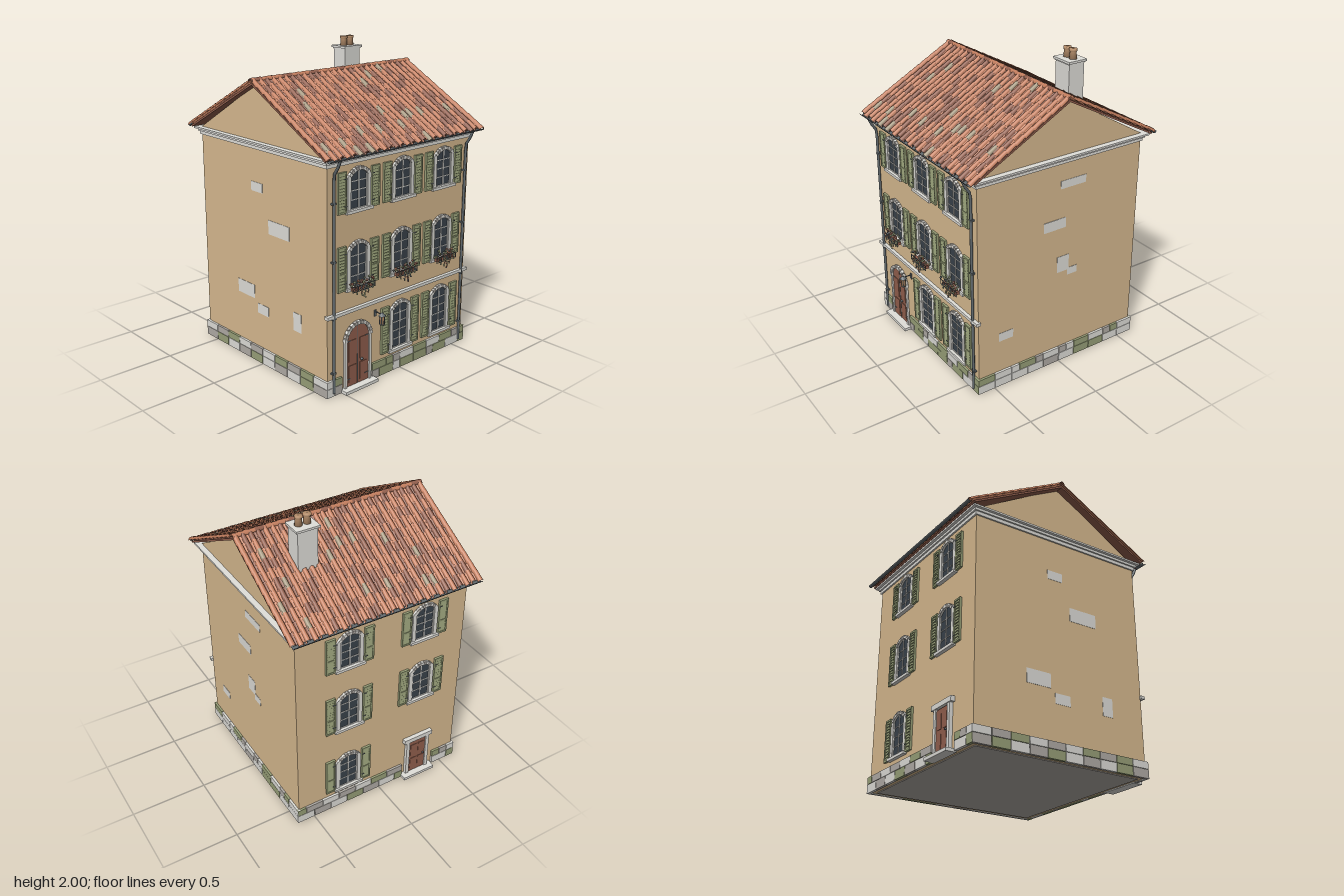
import * as THREE from 'three';
import { mergeGeometries } from 'three/addons/utils/BufferGeometryUtils.js';

const mat = (name, color, side = THREE.FrontSide) => {
  const m = new THREE.MeshStandardMaterial({ color, side });
  m.name = name;
  return m;
};
const M = {
  wall: mat('ochre plaster', 0xd9bb90),
  stone: mat('pale stone', 0xe0dfda),
  grey: mat('grey stone', 0xb2ada7),
  sage: mat('sage green', 0x99a179),
  tile: mat('terracotta', 0xc47f5f, THREE.DoubleSide),
  brown: mat('red brown', 0x93604e, THREE.DoubleSide),
  tileOld: mat('weathered tile', 0xa5987f, THREE.DoubleSide),
  clay: mat('clay tan', 0xb48d6a),
  metal: mat('dark metal', 0x626a6e, THREE.DoubleSide),
  glass: mat('window glass', 0x3a434b),
};
let seed = 7;
const rnd = () => (seed = (seed * 16807) % 2147483647) / 2147483647;

function add(parent, name, geo, material, x = 0, y = 0, z = 0) {
  const m = new THREE.Mesh(geo, material);
  m.name = name;
  m.position.set(x, y, z);
  parent.add(m);
  return m;
}
const box = (p, name, material, w, h, d, x, y, z) => add(p, name, new THREE.BoxGeometry(w, h, d), material, x, y, z);
function group(parent, name, x = 0, y = 0, z = 0) {
  const g = new THREE.Group();
  g.name = name;
  g.position.set(x, y, z);
  parent.add(g);
  return g;
}
const extrude = (shape, depth) => new THREE.ExtrudeGeometry(shape, { depth, bevelEnabled: false, curveSegments: 12 });

// Upright opening with an arched head; h is the full height
function arch(w, y0, h, rise) {
  const R = (w * w + rise * rise) / (2 * rise), cy = y0 + h - R, a = Math.atan2(R - rise, w);
  const s = new THREE.Shape();
  s.moveTo(-w, y0).lineTo(w, y0).lineTo(w, y0 + h - rise);
  s.absarc(0, cy, R, a, Math.PI - a, false);
  s.closePath();
  return { shape: s, R, cy, a };
}
// Arched stone surround with proud wedge stones over the head
function surround(p, w, y0, h, rise, t, n) {
  const inner = arch(w, y0, h, rise), outer = arch(w + t, y0, h + t * 0.6, rise + t * 0.6);
  outer.shape.holes.push(inner.shape);
  add(p, 'surround', extrude(outer.shape, 0.013), M.stone);
  for (let i = 0; i < n; i++) {
    const a = inner.a + (Math.PI - 2 * inner.a) * (i + 0.5) / n, r = inner.R + 0.011;
    const width = (Math.PI - 2 * inner.a) * r / n * 0.88;
    const s = box(p, 'archStone', i % 2 ? M.grey : M.stone, 0.022, width, 0.02, Math.cos(a) * r, inner.cy + Math.sin(a) * r, 0.008);
    s.rotation.z = a;
  }
}
function shutter(p, x, h) {
  const g = group(p, 'shutter', x, h / 2 - 0.002, 0.004), H = h + 0.015;
  box(g, 'backing', M.sage, 0.06, H, 0.006, 0, 0, 0);
  for (const s of [-1, 1]) box(g, 'stile', M.sage, 0.01, H, 0.015, s * 0.0275, 0, 0.004);
  for (const f of [-0.5, -0.12, 0.5]) box(g, 'rail', M.sage, 0.06, 0.012, 0.015, 0, f * (H - 0.012), 0.004);
  const n = Math.round(H / 0.018);
  for (let i = 1; i < n; i++) box(g, 'slat', M.sage, 0.046, 0.015, 0.005, 0, -H / 2 + i * H / n, 0.005).rotation.x = -0.2;
  for (const f of [-0.33, 0.33]) box(g, 'hinge', M.metal, 0.02, 0.005, 0.004, -Math.sign(x) * 0.024, f * H, 0.012);
}
function windowUnit(p, x, y, h) {
  const g = group(p, 'window', x, y, 0.605), w = 0.066, rise = 0.034;
  add(g, 'glass', extrude(arch(w, 0, h, rise).shape, 0.003), M.glass);
  surround(g, w, 0, h, rise, 0.026, 9);
  box(g, 'mullion', M.stone, 0.007, h - 0.004, 0.007, 0, h / 2, 0.004);
  for (const s of [-1, 1]) box(g, 'casementEdge', M.stone, 0.005, h - rise, 0.007, s * (w - 0.003), (h - rise) / 2, 0.004);
  const rows = Math.round(h / 0.06);
  for (let i = 0; i < rows; i++) box(g, 'glazingBar', M.stone, 2 * w, 0.005, 0.006, 0, 0.003 + i * (h - 0.01) / rows, 0.004);
  box(g, 'sill', M.stone, 0.21, 0.018, 0.026, 0, -0.009, 0.012);
  for (const s of [-1, 1]) shutter(g, s * 0.133, h);
}
function flowerBox(p, x) {
  const g = group(p, 'flowerBox', x, 0.645, 0.645);
  box(g, 'trough', M.brown, 0.16, 0.02, 0.022, 0, 0.014, 0);
  for (const y of [0.002, 0.034]) box(g, 'railing', M.metal, 0.185, 0.004, 0.004, 0, y, 0.018);
  for (let i = 0; i < 9; i++) box(g, 'bar', M.metal, 0.003, 0.034, 0.003, -0.09 + i * 0.0225, 0.017, 0.018);
  // Leaves and blooms above, trailing stems in front
  const blooms = [M.sage, M.brown, M.sage, M.metal, M.tile];
  for (let i = 0; i < 44; i++)
    add(g, 'plant', new THREE.IcosahedronGeometry(0.006 + rnd() * 0.004, 0), blooms[i % 5], (rnd() - 0.5) * 0.18, 0.022 + rnd() * 0.042, (rnd() - 0.4) * 0.036);
  for (const [tx, len] of [[-0.06, 0.04], [-0.02, 0.06], [0.005, 0.075], [0.03, 0.05], [0.07, 0.035]])
    for (let y = 0; y < len; y += 0.009)
      add(g, 'trailingLeaf', new THREE.IcosahedronGeometry(0.006, 0), blooms[Math.floor(rnd() * 4)], tx + (rnd() - 0.5) * 0.012, 0.025 - y, 0.022);
}
// Stone courses along one wall, one letter per cell: s pale, g grey, m mossy, dot for a doorway
function plinth(p, ry, courses) {
  const g = group(p, 'plinth'), cell = 0.062, letters = { s: M.stone, g: M.grey, m: M.sage };
  g.rotation.y = ry;
  courses.forEach((row, k) => {
    for (let i = 0; i < row.length;) {
      const n = row[i + 1] === row[i] ? 2 : 1;
      if (letters[row[i]]) box(g, 'plinthStone', letters[row[i]], n * cell - 0.004, k ? 0.045 : 0.056, 0.02, -0.62 + (i + n / 2) * cell, k ? 0.082 : 0.029, 0.61);
      i += n;
    }
  });
}
// Curved clay tile lying along z; cover arches up, pan sags down
function clayTile(r, len, cover = true) {
  return new THREE.CylinderGeometry(r * 0.82, r, len, 6, 1, true, cover ? -Math.PI / 2 : Math.PI / 2, Math.PI).rotateX(-Math.PI / 2);
}
function roofSlope(parent, name, ry) {
  const turn = group(parent, name, 0, 1.828, 0);
  turn.rotation.y = ry;
  const g = group(turn, 'tiledSlope');
  g.rotation.x = Math.atan2(0.365, 0.68);
  const L = 0.758, rows = 11, cols = 27, step = L / rows, pitch = 1.29 / cols;
  box(g, 'roofBoard', M.brown, 1.31, 0.012, L - 0.015, 0, -0.014, (L - 0.015) / 2);
  const sets = { tile: [], brown: [], tileOld: [] };
  for (let c = 0; c <= cols; c++) for (let r = 0; r < rows; r++) {
    const x = -0.645 + c * pitch, z = (r + 0.5) * step + (c % 2 ? 0.008 : -0.006);
    const k = rnd(), edge = c === 0 || c === cols;
    const key = edge || k < 0.66 ? 'tile' : k < 0.93 ? 'brown' : 'tileOld';
    sets[key].push(clayTile(edge ? 0.019 : 0.0165, step * 1.12).rotateX(0.09).translate(x, 0.002, z));
    if (c < cols) sets[rnd() < 0.55 ? 'tile' : 'brown'].push(
      clayTile(0.014, step * 1.1, false).rotateX(0.09).translate(x + pitch / 2, 0.008, z + step * 0.4 - 0.03));
  }
  for (const key in sets) add(g, 'roofTiles', mergeGeometries(sets[key]), M[key]);
  // Half-round gutter under the eaves
  const half = new THREE.CylinderGeometry(0.013, 0.013, 1.305, 8, 1, true, -Math.PI / 2, Math.PI);
  add(turn, 'gutter', half.rotateZ(Math.PI / 2).rotateX(Math.PI / 2), M.metal, 0, -0.358, 0.677);
}
function downpipe(p, x) {
  const g = group(p, 'downpipe', x, 0, 0);
  const path = new THREE.CatmullRomCurve3([[0.02, 0.62], [1.34, 0.62], [1.375, 0.625], [1.43, 0.662], [1.46, 0.672]]
    .map(([y, z]) => new THREE.Vector3(0, y, z)), false, 'catmullrom', 0.1);
  add(g, 'pipe', new THREE.TubeGeometry(path, 30, 0.009, 8), M.metal);
  for (const y of [0.15, 0.5, 0.85, 1.2]) box(g, 'pipeClip', M.metal, 0.026, 0.01, 0.022, 0, y, 0.616);
}
function frontDoor(p) {
  const g = group(p, 'frontDoor', -0.37, 0, 0.612);
  add(g, 'doorLeaves', extrude(arch(0.092, 0.02, 0.392, 0.092).shape, 0.004), M.brown);
  surround(g, 0.092, 0.02, 0.392, 0.092, 0.018, 13);
  box(g, 'meetingGap', M.metal, 0.004, 0.385, 0.002, 0, 0.215, 0.005);
  for (const s of [-1, 1]) {
    for (const [y, h] of [[0.1, 0.11], [0.25, 0.14]]) box(g, 'doorPanel', M.brown, 0.056, h, 0.006, s * 0.045, y, 0.005);
    for (const y of [0.07, 0.32]) box(g, 'strapHinge', M.metal, 0.03, 0.005, 0.003, s * 0.074, y, 0.008);
  }
  add(g, 'knob', new THREE.SphereGeometry(0.009, 10, 8), M.metal, 0.03, 0.175, 0.012);
  box(g, 'doorstep', M.stone, 0.27, 0.02, 0.07, 0, 0.01, 0.018);
}
function backDoor(p) {
  const g = group(p, 'backDoor', 0.3, 0, 0.61);
  box(g, 'doorLeaf', M.brown, 0.13, 0.27, 0.012, 0, 0.155, 0.004);
  for (const s of [-1, 1]) {
    box(g, 'doorJamb', M.stone, 0.025, 0.28, 0.026, s * 0.077, 0.16, 0.005);
    for (const y of [0.09, 0.21]) box(g, 'doorPanel', M.brown, 0.045, 0.09, 0.006, s * 0.03, y, 0.01);
  }
  box(g, 'lintel', M.stone, 0.22, 0.032, 0.03, 0, 0.312, 0.008);
  add(g, 'knob', new THREE.SphereGeometry(0.007, 10, 8), M.metal, 0.048, 0.15, 0.016);
  box(g, 'doorstep', M.stone, 0.24, 0.02, 0.07, 0, 0.01, 0.018);
}
function lantern(p) {
  const g = group(p, 'lantern', -0.215, 0.408, 0.668);
  add(g, 'lamp', new THREE.CylinderGeometry(0.018, 0.014, 0.052, 6), M.clay);
  add(g, 'cap', new THREE.ConeGeometry(0.024, 0.024, 6), M.metal, 0, 0.038, 0);
  add(g, 'base', new THREE.CylinderGeometry(0.017, 0.017, 0.006, 6), M.metal, 0, -0.029, 0);
  for (let i = 0; i < 6; i++) box(g, 'cageBar', M.metal, 0.003, 0.052, 0.003, Math.sin(i * Math.PI / 3) * 0.0165, 0, Math.cos(i * Math.PI / 3) * 0.0165);
  box(g, 'arm', M.metal, 0.005, 0.005, 0.064, 0, 0.035, -0.03);
  box(g, 'wallPlate', M.metal, 0.018, 0.04, 0.006, 0, 0.025, -0.06);
}
function chimney(p) {
  const g = group(p, 'chimney', 0.333, 0, -0.245);
  box(g, 'shaft', M.stone, 0.132, 0.29, 0.112, 0, 1.775, 0);
  box(g, 'capLower', M.stone, 0.142, 0.008, 0.122, 0, 1.92, 0);
  box(g, 'cap', M.stone, 0.156, 0.014, 0.134, 0, 1.931, 0);
  const profile = [[0, 0], [0.024, 0], [0.02, 0.045], [0.025, 0.048], [0.025, 0.062], [0, 0.062]];
  for (const x of [-0.028, 0.028])
    add(g, 'chimneyPot', new THREE.LatheGeometry(profile.map(([r, y]) => new THREE.Vector2(r, y)), 14), M.clay, x, 1.938, 0);
}

export function createModel() {
  const house = new THREE.Group();
  house.name = 'townHouse';
  // Walls and gables in one prism
  const s = new THREE.Shape();
  s.moveTo(-0.605, 0.006).lineTo(0.605, 0.006).lineTo(0.605, 1.46).lineTo(0, 1.815).lineTo(-0.605, 1.46).closePath();
  add(house, 'walls', extrude(s, 1.21).translate(0, 0, -0.605).rotateY(Math.PI / 2), M.wall);
  box(house, 'floor', M.grey, 1.14, 0.006, 1.14, 0, 0.004, 0);
  for (const [w, y, h] of [[1.23, 1.421, 0.022], [1.25, 1.44, 0.016], [1.285, 1.454, 0.012]]) box(house, 'cornice', M.stone, w, h, w, 0, y, 0);
  box(house, 'stringCourse', M.stone, 1.24, 0.02, 0.03, 0, 0.515, 0.612);
  // Plinth, lower course then upper, for front, right, back and left
  plinth(house, 0, ['sg....gmmsmmmmgmmssm', 'sm....mmmgssmmssmmgm']);
  plinth(house, Math.PI / 2, ['ssssssssggssmmmmssss', 'mmsssmmgssgsmmssgmss']);
  plinth(house, Math.PI, ['ssggssmmggssm....ssm', 'mggssggssmmgg....mgs']);
  plinth(house, -Math.PI / 2, ['ggmmssggmmssggssmmgg', 'ssggmmssggssmmggmmss']);
  // Patches of bare plaster: side, z, y, width, height
  for (const [k, z, y, w, h] of [[1, -0.085, 1.268, 0.19, 0.052], [1, 0.048, 1.01, 0.165, 0.068], [1, -0.022, 0.722, 0.09, 0.11],
    [1, -0.095, 0.653, 0.075, 0.05], [1, 0.405, 0.355, 0.105, 0.058], [-1, -0.037, 1.17, 0.11, 0.06], [-1, 0.17, 0.94, 0.2, 0.09],
    [-1, -0.17, 0.47, 0.17, 0.09], [-1, 0, 0.37, 0.11, 0.065], [-1, 0.335, 0.395, 0.075, 0.12]])
    box(house, 'plasterPatch', M.stone, 0.004, h, w, k * 0.605, y, z);
  // Front facade
  for (const x of [-0.365, 0, 0.365]) {
    windowUnit(house, x, 1.135, 0.23);
    windowUnit(house, x, 0.66, 0.26);
    flowerBox(house, x);
    if (x >= 0) windowUnit(house, x, 0.148, 0.295);
  }
  frontDoor(house);
  lantern(house);
  for (const x of [-0.565, 0.565]) downpipe(house, x);
  // Back facade, built facing front then turned round
  const back = group(house, 'backFacade');
  back.rotation.y = Math.PI;
  for (const x of [-0.24, 0.295]) {
    windowUnit(back, x, 1.135, 0.23);
    windowUnit(back, x, 0.66, 0.26);
  }
  windowUnit(back, -0.24, 0.155, 0.255);
  backDoor(back);
  // Roof
  roofSlope(house, 'frontRoof', 0);
  roofSlope(house, 'backRoof', Math.PI);
  for (let i = 0; i < 18; i++)
    add(house, 'ridgeTile', clayTile(0.021, 0.08).rotateY(Math.PI / 2), i % 3 ? M.tile : M.brown, -0.625 + i * 1.25 / 17, 1.828, 0);
  chimney(house);
  return house;
}
